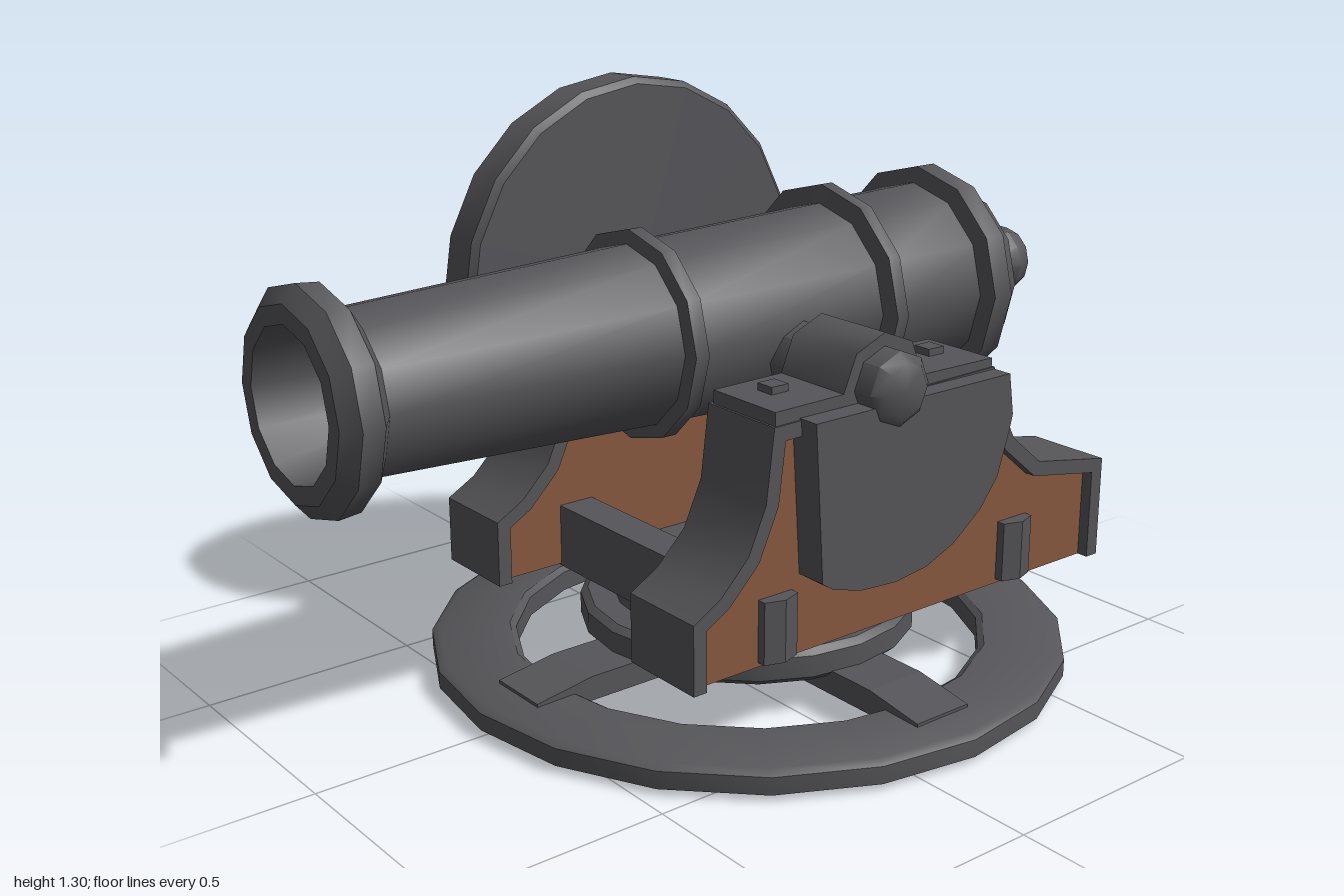
import * as THREE from 'three';
import { toCreasedNormals } from 'three/addons/utils/BufferGeometryUtils.js';

export function createModel() {
  const model = new THREE.Group();
  model.name = 'cannon';
  const iron = new THREE.MeshStandardMaterial({ color: 0x56565a });
  iron.name = 'darkIron';
  const wood = new THREE.MeshStandardMaterial({ color: 0x87593e });
  wood.name = 'brownWood';

  const CX = 0.135; // centre of the turntable and carriage
  const TRUNNION_Y = 0.762;

  const add = (name, geo, mat, x = 0, y = 0, z = 0, parent = model) => {
    const mesh = new THREE.Mesh(geo, mat);
    mesh.name = name;
    mesh.position.set(x, y, z);
    parent.add(mesh);
    return mesh;
  };
  const lathe = (pts, sides, crease = 0.6) =>
    toCreasedNormals(new THREE.LatheGeometry(pts.map(([r, y]) => new THREE.Vector2(r, y)), sides), crease);
  const extrude = (pts, depth, crease = 0.5) => toCreasedNormals(
    new THREE.ExtrudeGeometry(new THREE.Shape(pts.map(([x, y]) => new THREE.Vector2(x, y))),
      { depth, bevelEnabled: false }), crease);

  // Barrel with hollow bore, moulded muzzle, reinforcing bands and breech
  const barrel = lathe([
    [0, -0.5], [0.145, -0.5], [0.16, -1], [0.2, -1], [0.235, -0.97], [0.23, -0.92], [0.172, -0.88],
    [0.201, -0.205], [0.232, -0.2], [0.232, -0.165], [0.203, -0.16],
    [0.219, 0.34], [0.262, 0.345], [0.262, 0.378], [0.222, 0.384],
    [0.23, 0.64], [0.268, 0.65], [0.268, 0.705], [0.232, 0.72],
    [0.205, 0.785], [0.15, 0.822], [0.045, 0.832], [0.04, 0.865],
    [0.078, 0.89], [0.09, 0.93], [0.075, 0.975], [0.035, 1], [0, 1],
  ], 12);
  barrel.rotateZ(-Math.PI / 2);
  add('barrel', barrel, iron, 0, 0.822, 0);

  // Trunnion axle through both cheeks
  const axle = lathe([[0, -0.525], [0.06, -0.525], [0.083, -0.505], [0.083, 0.605],
    [0.06, 0.64], [0, 0.64]], 8, 0.9);
  axle.rotateX(-Math.PI / 2);
  add('trunnion', axle, iron, 0.115, TRUNNION_Y, 0);

  // Large disc wheel on the rear side
  const wheel = lathe([[0, 0.4], [0.465, 0.4], [0.48, 0.415], [0.48, 0.505], [0.465, 0.52], [0.372, 0.525],
    [0.355, 0.572], [0.15, 0.59], [0, 0.59]], 20);
  wheel.rotateX(-Math.PI / 2);
  add('sideWheel', wheel, iron, 0.125, 0.822, 0);

  // Cheek outline, from the lower muzzle end over the top to the lower breech end
  const outline = [[-0.39, 0.205], [-0.39, 0.36], [-0.32, 0.4], [-0.25, 0.47], [-0.205, 0.57], [-0.185, 0.73],
    [0.445, 0.74], [0.465, 0.66], [0.52, 0.56], [0.61, 0.485], [0.83, 0.445], [0.83, 0.205]];
  // Shift each corner inwards along its mitred normal, keeping the feet level
  const inset = (pts, d) => pts.map(([x, y], i) => {
    const n = [0, 0];
    const normals = [];
    for (const k of [i - 1, i]) {
      if (k < 0 || k + 1 >= pts.length) continue;
      const dx = pts[k + 1][0] - pts[k][0], dy = pts[k + 1][1] - pts[k][1];
      const len = Math.hypot(dx, dy);
      normals.push([dy / len, -dx / len]);
      n[0] += dy / len;
      n[1] -= dx / len;
    }
    const s = d / (n[0] * normals[0][0] + n[1] * normals[0][1]);
    return [x + n[0] * s, y + n[1] * s];
  });
  const inner = inset(outline, 0.034);
  const panelGeo = extrude(inner, 0.155);
  const trimGeo = extrude([...outline, ...[...inner].reverse()], 0.21, 0.6);

  // Cap over the trunnion: a flat strap with an arched middle
  const arch = [];
  for (let i = 0; i <= 4; i++) {
    const a = Math.PI * (1 - i / 4);
    arch.push([0.115 + 0.112 * Math.cos(a), TRUNNION_Y + 0.112 * Math.sin(a)]);
  }
  const capGeo = extrude([[-0.18, 0.725], [-0.18, 0.76], ...arch, [0.44, 0.76], [0.44, 0.725]], 0.195, 0.9);

  // Clip plan: a block with a pointed outer face
  const clipGeo = extrude([[-0.045, 0], [0.045, 0], [0.045, -0.04], [0, -0.055], [-0.045, -0.04]], 0.14);
  clipGeo.rotateX(-Math.PI / 2);

  for (const side of [1, -1]) {
    const cheek = new THREE.Group();
    cheek.name = side > 0 ? 'frontCheek' : 'rearCheek';
    const place = (depth, zMin) => (side > 0 ? zMin : -zMin - depth);
    add('woodPanel', panelGeo, wood, 0, 0, place(0.155, 0.28), cheek);
    add('ironTrim', trimGeo, iron, 0, 0, place(0.21, 0.252), cheek);
    add('trunnionCap', capGeo, iron, 0, 0, place(0.195, 0.263), cheek);
    for (const x of [-0.09, 0.36])
      add('capBolt', new THREE.BoxGeometry(0.045, 0.02, 0.045), iron, x, 0.767, side * 0.345, cheek);
    for (const x of [-0.155, 0.555]) {
      const clip = add('beamClip', clipGeo, iron, x, 0.215, side * 0.415, cheek);
      if (side < 0) clip.rotation.y = Math.PI;
    }
    model.add(cheek);
  }

  // Cross beams joining the cheeks
  for (const x of [-0.155, 0.555])
    add('crossBeam', new THREE.BoxGeometry(0.09, 0.15, 0.6), iron, x, 0.275, 0);

  // Rounded iron plate hanging on the front cheek
  const plate = [[-0.115, 0.735], [-0.09, 0.385], [-0.06, 0.365], [0.02, 0.342], [0.12, 0.335], [0.21, 0.347],
    [0.29, 0.38], [0.37, 0.44], [0.42, 0.505], [0.45, 0.6], [0.46, 0.64], [0.445, 0.735]];
  add('sidePlate', extrude(plate, 0.075), iron, 0, 0, 0.433);

  // Turntable: stepped pedestal, spokes and ground ring
  add('pedestal', lathe([[0, 0.08], [0.375, 0.08], [0.392, 0.095], [0.392, 0.145], [0.375, 0.158],
    [0.315, 0.158], [0.315, 0.22], [0, 0.22]], 20), iron, CX, 0, 0);
  add('groundRing', lathe([[0.545, 0.012], [0.57, 0], [0.715, 0], [0.742, 0.015], [0.742, 0.055], [0.725, 0.066],
    [0.56, 0.07], [0.545, 0.06], [0.545, 0.012]], 20), iron, CX, 0, 0);
  const spokeGeo = extrude([[-0.645, 0.04], [0.645, 0.04], [0.645, 0.075], [0.5, 0.097],
    [-0.5, 0.097], [-0.645, 0.075]], 0.15, 0.1);
  spokeGeo.translate(0, 0, -0.075);
  for (const turn of [0, Math.PI / 2])
    add('spokePair', spokeGeo, iron, CX, 0, 0).rotation.y = turn;

  return model;
}
